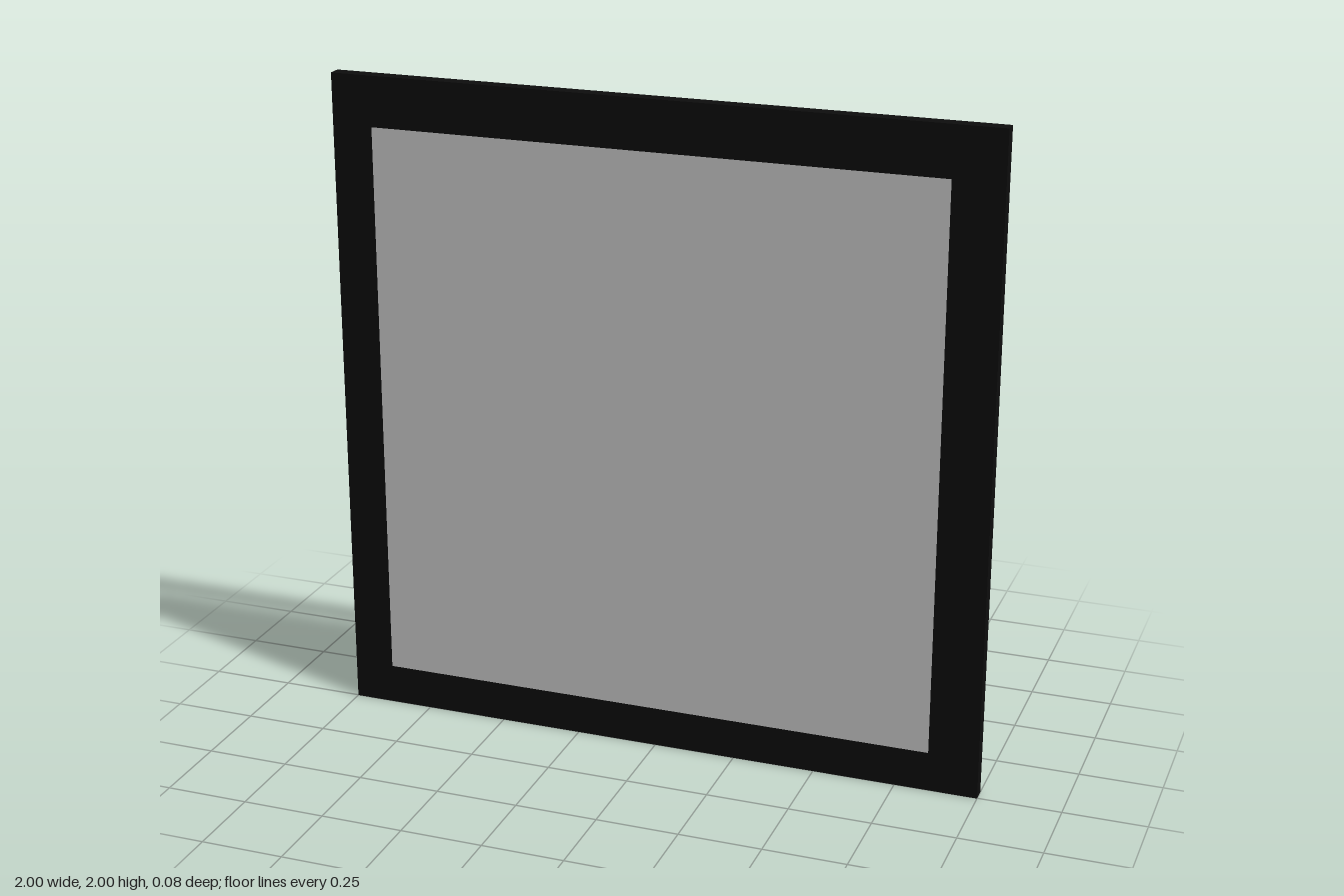
import * as THREE from 'three';

const paint = (name, color, side = THREE.FrontSide) => {
  const m = new THREE.MeshStandardMaterial({ color, side });
  m.name = name;
  return m;
};

const square = (Type, half) => {
  const s = new Type();
  s.moveTo(-half, -half);
  s.lineTo(half, -half);
  s.lineTo(half, half);
  s.lineTo(-half, half);
  s.closePath();
  return s;
};

export function createModel() {
  const black = paint('black', 0x0d0d0d, THREE.DoubleSide);
  const grey = paint('light grey', 0xcccccc, THREE.DoubleSide);
  const green = paint('green', 0x60c272);

  const model = new THREE.Group();
  const add = (name, geometry, material, z) => {
    const mesh = new THREE.Mesh(geometry, material);
    mesh.name = name;
    mesh.position.set(0, 1, z);
    model.add(mesh);
  };

  // Square frame with an open middle
  const outline = square(THREE.Shape, 1);
  outline.holes.push(square(THREE.Path, 0.842));
  add('frame', new THREE.ExtrudeGeometry(outline, { depth: 0.042, bevelEnabled: false }), black, -0.04);

  // Layers stacked in front of the frame, from front to back
  add('frontPanel', new THREE.PlaneGeometry(1.716, 1.716), grey, 0.04);
  add('backingPanel', new THREE.PlaneGeometry(1.424, 1.65), black, 0.025);
  add('greenBlock', new THREE.BoxGeometry(1.174, 1.174, 0.02), green, 0.013);

  return model;
}
